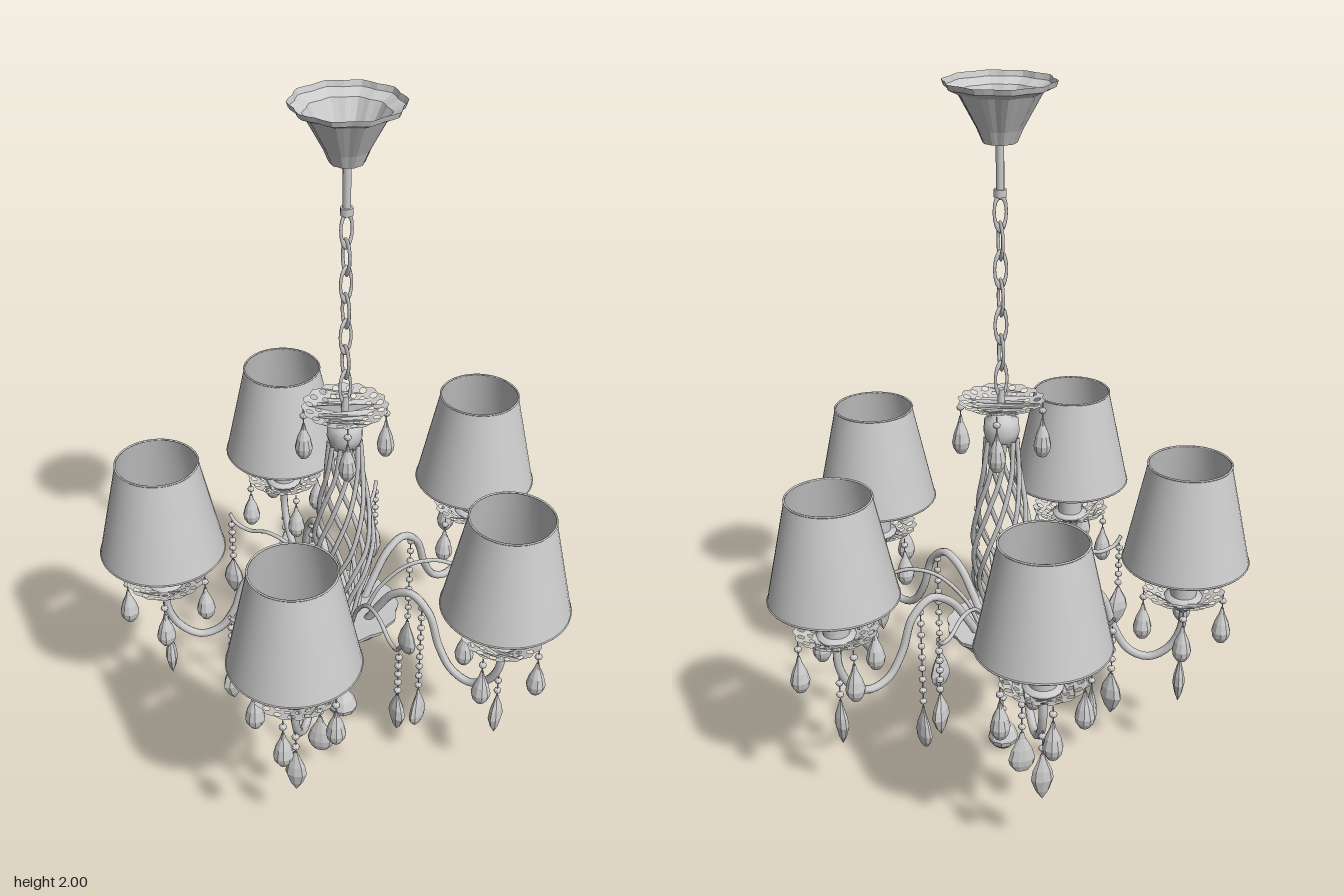
import * as THREE from 'three';

const grey = (flatShading = false) => new THREE.MeshStandardMaterial({
  color: 0xcccccc, flatShading, side: THREE.DoubleSide,
});
const smooth = grey();
const faceted = grey(true);

function add(parent, name, geometry, material = smooth, x = 0, y = 0, z = 0) {
  const mesh = new THREE.Mesh(geometry, material);
  mesh.name = name;
  mesh.position.set(x, y, z);
  parent.add(mesh);
  return mesh;
}

const lathe = (points, sides) =>
  new THREE.LatheGeometry(points.map(([r, y]) => new THREE.Vector2(r, y)), sides);

const tube = (points, radius, steps = 32) => new THREE.TubeGeometry(
  new THREE.CatmullRomCurve3(points.map((p) => new THREE.Vector3(...p))), steps, radius, 7);

// Unit teardrop: tip at y = 0, base at y = -1, radius 0.5
const dropGeometry = lathe([[0.001, -1], [0.26, -0.95], [0.45, -0.8], [0.5, -0.66],
  [0.38, -0.42], [0.15, -0.16], [0.07, 0]], 10);
const leafGeometry = lathe([[0.001, -1], [0.3, -0.8], [0.5, -0.55], [0.42, -0.35],
  [0.16, -0.1], [0.08, 0]], 8);
const beadGeometry = new THREE.IcosahedronGeometry(1, 1);

// Crystal hanging on a string of beads
function pendant(parent, name, x, z, from, top, bottom, width, depth, beads, geometry = dropGeometry) {
  const group = new THREE.Group();
  group.name = name;
  group.position.set(x, 0, z);
  add(group, 'crystal', geometry, faceted, 0, top).scale.set(width, top - bottom, depth);
  add(group, 'wire', new THREE.CylinderGeometry(0.002, 0.002, from - top, 4), smooth, 0, (from + top) / 2);
  for (let i = 0; i < beads; i++) {
    const y = top + (from - top) * (i + 0.5) / beads;
    add(group, 'bead', beadGeometry, faceted, 0, y).scale.set(0.011, 0.009, 0.011);
  }
  parent.add(group);
}

// Pierced saucer: a disc with rings of holes, lifted towards its rim
function saucerGeometry(inner, outer, rise) {
  const lobes = 16;
  const shape = new THREE.Shape();
  for (let i = 0; i <= 96; i++) {
    const a = i / 96 * Math.PI * 2;
    const r = outer * (0.97 + 0.03 * Math.cos(a * lobes));
    if (i) shape.lineTo(r * Math.cos(a), r * Math.sin(a));
    else shape.moveTo(r, 0);
  }
  const hole = (x, y, r, n) => {
    const path = new THREE.Path();
    for (let i = 0; i <= n; i++) {
      const a = -i / n * Math.PI * 2;
      if (i) path.lineTo(x + r * Math.cos(a), y + r * Math.sin(a));
      else path.moveTo(x + r, y);
    }
    shape.holes.push(path);
  };
  hole(0, 0, inner, 24);
  [[0.6, 0.068], [0.82, 0.085]].forEach(([f, size], row) => {
    for (let i = 0; i < lobes; i++) {
      const a = (i + row / 2) / lobes * Math.PI * 2;
      hole(outer * f * Math.cos(a), outer * f * Math.sin(a), outer * size, 7);
    }
  });
  const geometry = new THREE.ShapeGeometry(shape);
  geometry.rotateX(-Math.PI / 2);
  const p = geometry.attributes.position;
  for (let i = 0; i < p.count; i++) {
    const t = (Math.hypot(p.getX(i), p.getZ(i)) - inner) / (outer - inner);
    p.setY(i, rise * Math.pow(Math.max(t, 0), 0.8));
  }
  geometry.computeVertexNormals();
  return geometry;
}

// Fluted bowl: a lathe whose radius swells and shrinks around the axis
function flutedGeometry(points, lobes, depth) {
  const geometry = lathe(points, lobes * 4);
  const p = geometry.attributes.position;
  for (let i = 0; i < p.count; i++) {
    const x = p.getX(i), z = p.getZ(i);
    const k = 1 - depth * (0.5 - 0.5 * Math.cos(lobes * Math.atan2(z, x)));
    p.setX(i, x * k);
    p.setZ(i, z * k);
  }
  geometry.computeVertexNormals();
  return geometry;
}

// One lamp arm along +x with cup, candle, shade and crystals
function lampArm() {
  const arm = new THREE.Group();
  arm.name = 'lampArm';
  const R = 0.52;
  add(arm, 'armTube', tube([[0.08, 0.42, 0], [0.12, 0.49, 0], [0.17, 0.56, 0], [0.23, 0.588, 0],
    [0.29, 0.54, 0], [0.325, 0.44, 0], [0.37, 0.37, 0], [0.43, 0.35, 0], [0.49, 0.39, 0],
    [R, 0.46, 0], [R, 0.54, 0]], 0.012, 48));
  add(arm, 'cup', lathe([[0.012, 0.51], [0.024, 0.52], [0.022, 0.535], [0.05, 0.55], [0.055, 0.56], [0.037, 0.565]], 16), smooth, R);
  add(arm, 'saucer', saucerGeometry(0.04, 0.118, 0.036), faceted, R, 0.542);
  add(arm, 'candle', new THREE.CylinderGeometry(0.037, 0.037, 0.16, 16), smooth, R, 0.635);
  add(arm, 'bulb', lathe([[0.025, 0.71], [0.045, 0.745], [0.048, 0.77], [0.03, 0.82], [0.001, 0.86]], 8), faceted, R);
  add(arm, 'shade', new THREE.CylinderGeometry(0.115, 0.178, 0.295, 40, 1, true), smooth, R, 0.8275);
  for (const [y, r] of [[0.68, 0.177], [0.975, 0.115]]) {
    add(arm, 'shadeTrim', new THREE.TorusGeometry(r, 0.003, 5, 40), smooth, R, y).rotation.x = Math.PI / 2;
  }
  for (let i = 0; i < 4; i++) {
    const a = i * Math.PI / 2;
    pendant(arm, 'saucerDrop', R + 0.113 * Math.cos(a), 0.113 * Math.sin(a),
      0.57, 0.525, 0.41, 0.055, 0.055, 1);
  }
  pendant(arm, 'cupPendant', R, 0, 0.42, 0.345, 0.2, 0.036, 0.062, 2, leafGeometry);
  pendant(arm, 'archPendant', 0.265, 0, 0.57, 0.235, 0.1, 0.036, 0.078, 9);
  return arm;
}

// One thin branch along +x with a hanging crystal
function branch() {
  const group = new THREE.Group();
  group.name = 'branch';
  add(group, 'branchTube', tube([[0.07, 0.43, 0], [0.11, 0.51, 0], [0.19, 0.585, 0], [0.27, 0.6, 0],
    [0.34, 0.58, 0], [0.39, 0.59, 0], [0.41, 0.615, 0]], 0.006));
  pendant(group, 'branchPendant', 0.405, 0, 0.59, 0.44, 0.31, 0.07, 0.04, 5, leafGeometry);
  return group;
}

export function createModel() {
  const model = new THREE.Group();
  model.name = 'chandelier';
  const body = new THREE.Group();
  body.name = 'body';
  body.position.x = 0.047;
  model.add(body);

  // Ceiling canopy and rod
  add(body, 'canopy', flutedGeometry([[0.001, 1.845], [0.045, 1.845], [0.06, 1.88], [0.085, 1.925],
    [0.11, 1.97], [0.142, 1.985], [0.147, 2]], 10, 0.07), faceted);
  add(body, 'rod', new THREE.CylinderGeometry(0.011, 0.011, 0.14, 10), smooth, 0, 1.78);
  add(body, 'rodCollar', new THREE.CylinderGeometry(0.017, 0.017, 0.02, 10), smooth, 0, 1.715);

  // Chain of links turned alternately
  const link = new THREE.TorusGeometry(0.017, 0.0045, 6, 16);
  link.scale(1, 2.6, 1);
  for (let i = 0; i < 7; i++) {
    add(body, 'chainLink', link, smooth, 0, 1.665 - i * 0.077).rotation.y = i % 2 * Math.PI / 2 + 0.5;
  }
  add(body, 'chainStem', new THREE.CylinderGeometry(0.009, 0.012, 0.06, 10), smooth, 0, 1.145);

  // Crown saucer with four crystals, and the neck under it
  add(body, 'crownSaucer', saucerGeometry(0.012, 0.12, 0.035), faceted, 0, 1.11);
  for (let i = 0; i < 4; i++) {
    const a = i * Math.PI / 2;
    pendant(body, 'crownDrop', 0.113 * Math.cos(a), 0.113 * Math.sin(a), 1.14, 1.09, 0.975, 0.05, 0.05, 1);
  }
  add(body, 'neck', lathe([[0.001, 1.115], [0.025, 1.11], [0.03, 1.09], [0.048, 1.085], [0.05, 1.05],
    [0.04, 1.015], [0.001, 1.005]], 16));

  // Cage of twisted rods
  const rods = 10;
  for (let i = 0; i < rods; i++) {
    const points = [[0.043, 1.03], [0.052, 0.93], [0.07, 0.82], [0.085, 0.7], [0.075, 0.6], [0.05, 0.5], [0.045, 0.4]]
      .map(([r, y], j) => {
        const a = i / rods * Math.PI * 2 + Math.max(j - 0.5, 0) * 0.55;
        return [r * Math.cos(a), y, r * Math.sin(a)];
      });
    add(body, 'cageRod', tube(points, 0.007, 28));
  }

  // Bottom dish with the central pendant
  add(body, 'dish', flutedGeometry([[0.001, 0.345], [0.07, 0.35], [0.11, 0.375], [0.14, 0.41],
    [0.163, 0.43], [0.165, 0.442], [0.1, 0.435], [0.001, 0.425]], 14, 0.05), faceted);
  pendant(body, 'centrePendant', 0, 0, 0.35, 0.115, 0, 0.092, 0.092, 6);

  // Five lamp arms alternating with five branches
  for (let i = 0; i < 5; i++) {
    const a = i * Math.PI * 2 / 5;
    const arm = lampArm();
    arm.rotation.y = a + Math.PI / 5;
    const twig = branch();
    twig.rotation.y = a;
    body.add(arm, twig);
  }
  return model;
}
